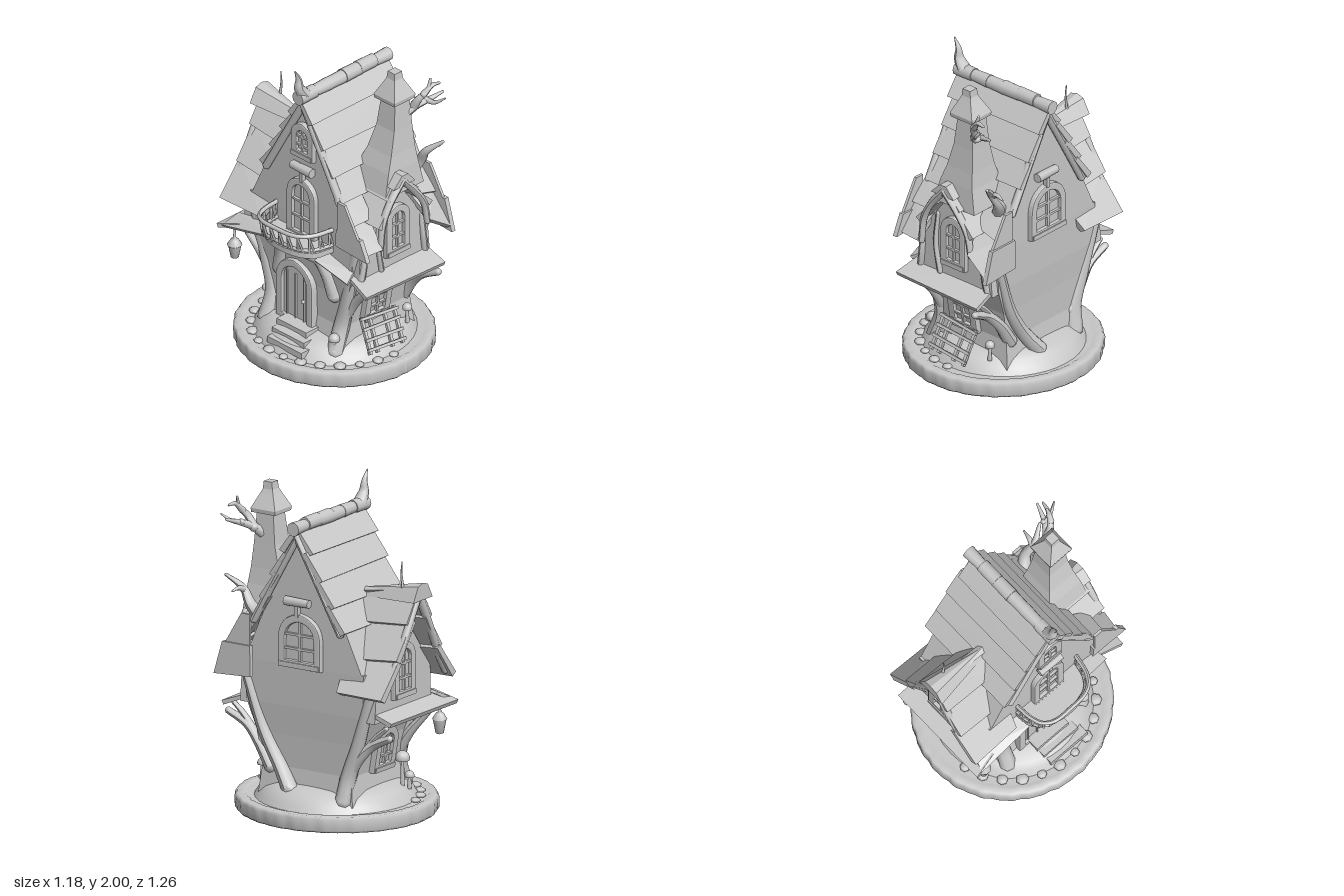
import * as THREE from 'three';
import { ConvexGeometry } from 'three/addons/geometries/ConvexGeometry.js';

const V = (x, y, z) => new THREE.Vector3(x, y, z);

export function createModel() {
  const root = new THREE.Group();
  const clay = new THREE.MeshStandardMaterial({ color: 0xc8c8c8 });
  clay.name = 'pale grey';
  let seed = 7;
  const rnd = () => (seed = (seed * 16807) % 2147483647) / 2147483647 - 0.5;

  function add(name, geo, parent = root, p = [0, 0, 0], r = [0, 0, 0]) {
    const m = new THREE.Mesh(geo, clay);
    m.name = name;
    m.position.set(...p);
    m.rotation.set(...r);
    parent.add(m);
    return m;
  }
  const hull = (name, pts, parent) => add(name, new ConvexGeometry(pts), parent);
  const box = (name, s, p, parent, r) => add(name, new THREE.BoxGeometry(...s), parent, p, r);

  // Tapering bent limb through a few points
  function limb(name, pts, r0, r1, parent = root) {
    const curve = new THREE.CatmullRomCurve3(pts.map(p => V(...p)));
    const n = pts.length * 5, sides = 8;
    const geo = new THREE.TubeGeometry(curve, n, 1, sides);
    const pos = geo.attributes.position, v = V(0, 0, 0);
    for (let i = 0; i < pos.count; i++) {
      const t = Math.floor(i / (sides + 1)) / n, c = curve.getPointAt(t);
      v.fromBufferAttribute(pos, i).sub(c).multiplyScalar(r0 + (r1 - r0) * t).add(c);
      pos.setXYZ(i, v.x, v.y, v.z);
    }
    geo.computeVertexNormals();
    add(name, geo, parent);
    for (const [p, r] of [[pts[0], r0], [pts[pts.length - 1], r1]])
      add(name + 'End', new THREE.SphereGeometry(r, 8, 6), parent, p);
  }

  // Overlapping board rows between a ridge line a-b and an eave line c-d
  function boards(name, a, b, c, d, rows, t = 0.03, sag = 0) {
    const g = new THREE.Group();
    g.name = name;
    root.add(g);
    const [A, B, C, D] = [a, b, c, d].map(p => V(...p));
    const n = B.clone().sub(A).cross(C.clone().sub(A)).normalize();
    if (n.y < 0) n.negate();
    const at = (u, v, o) => A.clone().lerp(B, u).lerp(C.clone().lerp(D, u), v).addScaledVector(n, o - sag * Math.sin(Math.PI * Math.min(v, 1)));
    for (let i = 0; i < rows; i++) {
      const v0 = Math.max(0, (i - 0.15) / rows), v1 = (i + 1) / rows;
      const e0 = rnd() * 0.04, e1 = 1 + rnd() * 0.04, w0 = rnd() * 0.03, w1 = rnd() * 0.03;
      hull('board', [at(e0, v0, -t), at(e1, v0, -t), at(e0, v0, 0), at(e1, v0, 0),
        at(e0, v1 + w0, -t * 0.3), at(e1, v1 + w1, -t * 0.3), at(e0, v1 + w0, t), at(e1, v1 + w1, t)], g);
    }
  }

  // Arched outline used for windows and doors
  function arch(w, h, Type = THREE.Shape) {
    const s = new Type(), y = h - w * 0.55;
    s.moveTo(-w / 2, 0);
    s.lineTo(w / 2, 0);
    s.lineTo(w / 2, y);
    s.quadraticCurveTo(w / 2, h - w * 0.08, 0, h);
    s.quadraticCurveTo(-w / 2, h - w * 0.08, -w / 2, y);
    s.closePath();
    return s;
  }
  function opening(name, w, h, p, ry, tilt = 0, door = false) {
    const g = new THREE.Group();
    g.name = name;
    g.position.set(...p);
    g.rotation.set(tilt, ry, 0, 'YXZ');
    root.add(g);
    const f = 0.032, frame = arch(w, h), hole = arch(w - 2 * f, h - 2 * f, THREE.Path);
    frame.holes.push(new THREE.Path(hole.getPoints(8).map(q => q.add(new THREE.Vector2(0, f)))));
    add('frame', new THREE.ExtrudeGeometry(frame, { depth: 0.04, bevelSize: 0.008, bevelThickness: 0.008, bevelSegments: 2, curveSegments: 8 }), g, [0, 0, -0.02]);
    add('pane', new THREE.ShapeGeometry(arch(w - f, h - f)), g, [0, f / 2, 0.005]);
    if (door) {
      for (const x of [-0.25, 0, 0.25]) box('plankSeam', [0.008, h * 0.75, 0.012], [x * w, h * 0.42, 0.01], g);
      add('knob', new THREE.SphereGeometry(0.012, 8, 6), g, [w * 0.25, h * 0.42, 0.02]);
    } else {
      box('mullion', [0.016, h - f, 0.02], [0, h / 2, 0.012], g);
      for (const k of [0.35, 0.62]) box('crossbar', [w - f, 0.014, 0.02], [0, h * k, 0.012], g);
      box('sill', [w, 0.03, 0.05], [0, 0.012, 0.01], g);
    }
  }

  // Log slice base with a rippled bark edge
  const base = new THREE.LatheGeometry([[0, 0], [0.57, 0], [0.585, 0.015], [0.588, 0.08], [0.575, 0.1], [0.53, 0.1], [0.51, 0.088], [0, 0.088]].map(p => new THREE.Vector2(...p)), 160);
  const bp = base.attributes.position;
  for (let i = 0; i < bp.count; i++) {
    const x = bp.getX(i), z = bp.getZ(i), a = Math.atan2(z, x);
    const k = 1 + 0.004 * Math.sin(a * 23) + 0.004 * Math.sin(a * 41 + 1);
    bp.setXYZ(i, x * k, bp.getY(i), z * k * 1.045);
  }
  base.computeVertexNormals();
  add('logBase', base);
  const mound = add('mound', new THREE.LatheGeometry([[0.49, 0.085], [0.465, 0.125], [0.43, 0.165], [0.37, 0.2], [0.2, 0.225], [0, 0.23]].map(p => new THREE.Vector2(...p)), 40));
  mound.position.x = 0.005;

  // Lower storey flaring upward: y, x min, x max, half depth
  const levels = [[0.12, -0.28, 0.33, 0.34], [0.3, -0.245, 0.31, 0.32], [0.5, -0.25, 0.32, 0.355], [0.68, -0.27, 0.335, 0.42], [0.95, -0.275, 0.345, 0.43]];
  const ring = ([y, x0, x1, z]) => [V(x0, y, -z), V(x1, y, -z), V(x0, y, z), V(x1, y, z)];
  for (let i = 0; i < 4; i++) hull('lowerWall', [...ring(levels[i]), ...ring(levels[i + 1])]);

  // Gabled upper storeys
  hull('mainGable', [-0.275, 0.345].flatMap(x => [V(x, 0.94, -0.42), V(x, 0.94, 0.42), V(x, 1.2, -0.3), V(x, 1.2, 0.31), V(x, 1.75, 0.03)]));
  for (const z of [0.47, -0.5])
    hull('crossGable', [z, 0].flatMap(k => [V(-0.26, 0.66, k), V(0.33, 0.66, k), V(-0.25, 0.9, k), V(0.31, 0.88, k), V(-0.13, 1.07, k), V(0.18, 1.07, k), V(0.03, 1.28, k)]));

  // Main roof
  boards('mainRoofFront', [-0.31, 1.79, 0.04], [0.39, 1.79, 0.04], [-0.31, 1.18, 0.34], [0.39, 1.18, 0.34], 4);
  boards('mainRoofBack', [-0.31, 1.79, 0.02], [0.39, 1.79, 0.02], [-0.31, 1.19, -0.31], [0.39, 1.19, -0.31], 4);
  for (const x of [-0.29, 0.37])
    for (const s of [1, -1])
      limb('rakeBoard', [[x, 1.74, 0.03], [x, 1.45, 0.03 + s * 0.165], [x, 1.19, 0.03 + s * 0.31]], 0.025, 0.025);
  for (let i = 0; i < 6; i++)
    add('ridgeLog', new THREE.CylinderGeometry(0.041 + rnd() * 0.012, 0.043, 0.135, 10), root, [-0.27 + i * 0.124, 1.8 + rnd() * 0.01, 0.03], [0, 0, Math.PI / 2]);
  limb('ridgeHorn', [[-0.29, 1.81, 0.03], [-0.325, 1.87, 0.03], [-0.33, 1.93, 0.03], [-0.36, 1.995, 0.03]], 0.045, 0.004);

  // Low front roof on both sides of the front gable, with boarded ends
  boards('lowRoofLeft', [-0.31, 1.22, 0.33], [-0.12, 1.22, 0.33], [-0.33, 0.9, 0.54], [-0.17, 0.9, 0.56], 2, 0.03);
  boards('lowRoofRight', [0.17, 1.22, 0.33], [0.365, 1.22, 0.33], [0.23, 0.94, 0.56], [0.385, 0.84, 0.58], 2, 0.03);
  for (const [x, y] of [[-0.335, 0.9], [0.375, 0.825]]) {
    hull('roofEndBoard', [x, x + 0.03].flatMap(k => [V(k, y + 0.015, 0.345), V(k, y, 0.61), V(k, 1.03, 0.55), V(k, 1.03, 0.35)]));
    hull('roofEndBoard', [x, x + 0.018].flatMap(k => [V(k, 1.0, 0.36), V(k, 1.0, 0.55), V(k, 1.22, 0.42), V(k, 1.22, 0.36)]));
  }

  // Front gable roof and bell-shaped back gable roof
  boards('frontRoofLeft', [0.02, 1.33, 0.55], [0.02, 1.33, 0.2], [-0.17, 1.05, 0.57], [-0.17, 1.05, 0.3], 2, 0.025);
  boards('frontRoofRight', [0.02, 1.33, 0.55], [0.02, 1.33, 0.2], [0.24, 1.06, 0.57], [0.24, 1.06, 0.3], 2, 0.025);
  boards('backRoofLeft', [0.02, 1.46, -0.62], [0.02, 1.39, -0.15], [-0.33, 0.83, -0.61], [-0.32, 0.83, -0.28], 3, 0.035, 0.025);
  boards('backRoofRight', [0.02, 1.46, -0.62], [0.02, 1.39, -0.15], [0.38, 0.83, -0.61], [0.37, 0.83, -0.28], 3, 0.035, 0.025);
  hull('backRidgeCap', [V(-0.08, 1.38, -0.635), V(0.12, 1.38, -0.635), V(-0.03, 1.47, -0.635), V(0.07, 1.47, -0.635), V(0.02, 1.485, -0.635), V(-0.01, 1.35, -0.22), V(0.05, 1.35, -0.22), V(0.02, 1.4, -0.22)]);
  hull('frontRidgeCap', [V(-0.07, 1.28, 0.57), V(0.11, 1.28, 0.57), V(0.0, 1.35, 0.57), V(0.05, 1.35, 0.57), V(-0.05, 1.28, 0.3), V(0.09, 1.28, 0.3), V(0.02, 1.35, 0.3)]);
  limb('backSpike', [[0.05, 1.44, -0.51], [0.05, 1.53, -0.5], [0.05, 1.6, -0.505]], 0.01, 0.003);
  const trims = [[[0.02, 1.31, 0.55], [-0.08, 1.19, 0.55], [-0.14, 1.07, 0.55], [-0.16, 0.91, 0.55]], [[0.02, 1.31, 0.55], [0.12, 1.2, 0.55], [0.2, 1.08, 0.55], [0.23, 0.94, 0.55]],
    [[0.02, 1.41, -0.6], [-0.12, 1.15, -0.6], [-0.2, 1.0, -0.59], [-0.29, 0.87, -0.58]], [[0.02, 1.41, -0.6], [0.17, 1.15, -0.6], [0.25, 1.0, -0.59], [0.35, 0.87, -0.58]]];
  for (const t of trims) limb('gableTrim', t, 0.026, 0.02);

  // Sloping ledges between the storeys, turning the corners on the balcony side
  boards('frontLedge', [-0.3, 0.71, 0.42], [0.32, 0.71, 0.42], [-0.33, 0.635, 0.59], [0.33, 0.62, 0.6], 1, 0.022);
  boards('backLedge', [-0.33, 0.73, -0.46], [0.33, 0.73, -0.46], [-0.36, 0.66, -0.61], [0.34, 0.66, -0.61], 1, 0.022);
  boards('sideLedge', [-0.26, 0.74, -0.55], [-0.26, 0.8, -0.18], [-0.36, 0.67, -0.58], [-0.36, 0.76, -0.18], 1, 0.018);
  boards('sideLedge', [-0.26, 0.74, 0.43], [-0.26, 0.8, 0.2], [-0.33, 0.68, 0.45], [-0.36, 0.76, 0.2], 1, 0.018);

  // Corner trunks, ledge branches and wall timbers
  limb('frontRightRoot', [[0.36, 0.18, 0.09], [0.325, 0.3, 0.18], [0.32, 0.5, 0.3], [0.335, 0.84, 0.42]], 0.05, 0.03);
  limb('backRightTrunk', [[0.32, 0.15, -0.27], [0.295, 0.3, -0.29], [0.3, 0.5, -0.36], [0.32, 0.85, -0.47]], 0.055, 0.03);
  for (const s of [1, -1]) {
    limb('leftTrunk', [[-0.28, 0.14, s * 0.29], [-0.225, 0.3, s * 0.29], [-0.225, 0.5, s * 0.34], [-0.25, 0.86, s * 0.43]], 0.055, 0.03);
    limb('ledgeBranch', [[0.29, 0.28, s * 0.27], [0.29, 0.42, s * 0.36], [0.28, 0.51, s * 0.45], [0.29, 0.575, s * 0.58]], 0.045, 0.022);
    limb('ledgeBranch', [[-0.21, 0.34, s * 0.29], [-0.21, 0.48, s * 0.38], [-0.23, 0.62, s * 0.5]], 0.04, 0.022);
    limb('ledgeTwig', [[0.28, 0.5, s * 0.42], [0.28, 0.57, s * 0.48], [0.28, 0.63, s * 0.55]], 0.022, 0.015);
    for (const x of [-0.24, 0.29])
      limb('upperTimber', [[x, 0.68, s * 0.465], [x * 0.93, 0.8, s * 0.475], [x * 0.9, 0.94, s * 0.465]], 0.024, 0.018);
    limb('wallTimber', [[-0.08, 0.7, s * 0.475], [-0.11, 0.88, s * 0.48], [-0.1, 1.08, s * 0.47]], 0.018, 0.014);
  }

  // Windows and doors
  opening('frontUpperWindow', 0.18, 0.32, [0.04, 0.78, 0.475], 0);
  opening('frontLowerWindow', 0.2, 0.26, [0, 0.3, 0.33], 0, 0.17);
  opening('backUpperWindow', 0.2, 0.33, [0.05, 0.78, -0.505], Math.PI);
  opening('backLowerWindow', 0.2, 0.27, [0.02, 0.3, -0.33], Math.PI, 0.17);
  opening('sideWindow', 0.29, 0.32, [0.35, 0.94, 0.015], Math.PI / 2);
  opening('atticWindow', 0.17, 0.22, [-0.28, 1.38, 0.03], -Math.PI / 2);
  opening('balconyDoor', 0.22, 0.4, [-0.28, 0.82, 0.02], -Math.PI / 2);
  opening('groundDoor', 0.29, 0.43, [-0.265, 0.19, -0.05], -Math.PI / 2, 0, true);
  for (const [x, y] of [[0.37, 1.34], [-0.3, 1.3]]) {
    add('wallLog', new THREE.CylinderGeometry(0.03, 0.026, 0.17, 8), root, [x, y, 0.03], [Math.PI / 2, 0, 0]);
    box('wallLogPeg', [0.03, 0.08, 0.025], [x, y - 0.05, 0.03]);
  }

  // Chimney with a pointed cap
  const square = (y, x, z, w) => [[-1, -1], [1, -1], [1, 1], [-1, 1]].map(([i, j]) => V(x + i * w, y, z + j * w));
  const stack = [[1.2, 0.07, 0.36, 0.16], [1.35, 0.075, 0.38, 0.125], [1.45, 0.088, 0.39, 0.1], [1.6, 0.103, 0.4, 0.075], [1.8, 0.108, 0.403, 0.058]];
  for (let i = 0; i < 4; i++) hull('chimney', [...square(...stack[i]), ...square(...stack[i + 1])]);
  const cap = [[1.785, 0.1, 0.405, 0.085], [1.81, 0.1, 0.405, 0.088], [1.9, 0.097, 0.408, 0.045], [1.925, 0.097, 0.409, 0.034], [1.97, 0.097, 0.41, 0.03]];
  for (let i = 0; i < 4; i++) hull('chimneyCap', [...square(...cap[i]), ...square(...cap[i + 1])]);

  // Bare branches by the chimney and the front roof
  limb('chimneyBranch', [[0.15, 1.66, 0.43], [0.21, 1.71, 0.47], [0.28, 1.74, 0.51], [0.37, 1.77, 0.54]], 0.035, 0.008);
  limb('chimneyTwig', [[0.2, 1.7, 0.46], [0.21, 1.77, 0.5], [0.25, 1.82, 0.53], [0.275, 1.89, 0.53]], 0.03, 0.008);
  limb('chimneyTwig', [[0.23, 1.8, 0.52], [0.28, 1.85, 0.54], [0.33, 1.85, 0.55]], 0.022, 0.008);
  limb('chimneyTwig', [[0.27, 1.74, 0.5], [0.28, 1.74, 0.56], [0.31, 1.78, 0.62]], 0.02, 0.005);
  limb('roofBranch', [[0.28, 1.18, 0.35], [0.32, 1.26, 0.4], [0.31, 1.35, 0.46], [0.36, 1.43, 0.55]], 0.045, 0.01);
  limb('roofTwig', [[0.31, 1.34, 0.45], [0.36, 1.36, 0.46], [0.41, 1.35, 0.47]], 0.022, 0.006);

  // Balcony: curved deck, brackets and slatted rail
  const deck = new THREE.Shape();
  deck.moveTo(-0.25, -0.22);
  deck.lineTo(-0.36, -0.21);
  deck.bezierCurveTo(-0.52, -0.16, -0.52, 0.2, -0.38, 0.25);
  deck.lineTo(-0.25, 0.27);
  add('balconyDeck', new THREE.ExtrudeGeometry(deck, { depth: 0.035, bevelEnabled: false }), root, [0, 0.845, 0], [Math.PI / 2, 0, 0]);
  const rim = new THREE.CatmullRomCurve3([[-0.28, -0.21], [-0.42, -0.19], [-0.485, -0.14], [-0.5, 0.02], [-0.485, 0.15], [-0.43, 0.22], [-0.28, 0.26]].map(([x, z]) => V(x, 0, z)));
  const rail = (y, k) => rim.getPoints(8).map(p => [p.x * k, y, p.z]);
  limb('balconyRail', rail(0.965, 1), 0.014, 0.014);
  limb('balconyRailFoot', rail(0.86, 0.94), 0.011, 0.011);
  for (let i = 0; i <= 22; i++) {
    const p = rim.getPointAt(i / 22), q = rim.getPointAt(Math.min(1, Math.max(0, (i + (i % 2 ? 0.6 : -0.6)) / 22)));
    limb('baluster', [[p.x * 0.94, 0.84, p.z], [q.x, 0.965, q.z]], 0.008, 0.008);
  }
  for (const z of [-0.15, 0.18])
    limb('balconyBracket', [[-0.25, 0.5, z * 1.4], [-0.275, 0.63, z * 1.2], [-0.32, 0.74, z], [-0.41, 0.81, z]], 0.045, 0.022);

  // Doorstep, stones and leaning fence
  for (let i = 0; i < 3; i++) box('doorStep', [0.12, 0.04, 0.25 + i * 0.02], [-0.3 - i * 0.05, 0.21 - i * 0.037, i * 0.02]);
  for (let i = 0; i < 13; i++) {
    const a = Math.PI * (0.5 + i / 13);
    add('stone', new THREE.SphereGeometry(0.035 + rnd() * 0.012, 7, 5), root, [Math.cos(a) * 0.49, 0.095, Math.sin(a) * 0.5]).scale.y = 0.5;
  }
  const fence = new THREE.Group();
  fence.name = 'leaningFence';
  fence.position.set(-0.02, 0.235, 0.42);
  fence.rotation.set(-0.45, 0, -0.08);
  root.add(fence);
  for (const x of [-0.13, -0.07, 0.05, 0.13]) box('fencePost', [0.02, 0.23, 0.02], [x, 0, 0], fence);
  for (const y of [-0.09, -0.03, 0.04, 0.1]) box('fenceRail', [0.3, 0.018, 0.016], [0, y, 0.012], fence, [0, 0, rnd() * 0.06]);

  // Mushrooms and hanging lantern
  for (const [x, y, z, h, r] of [[-0.3, 0.15, 0.3, 0.09, 0.035], [0.23, 0.17, 0.38, 0.1, 0.03], [-0.12, 0.16, -0.39, 0.18, 0.045], [-0.15, 0.15, -0.42, 0.08, 0.03]]) {
    add('mushroomStem', new THREE.CylinderGeometry(0.009, 0.014, h, 8), root, [x, y + h / 2, z]);
    add('mushroomCap', new THREE.SphereGeometry(r, 12, 6, 0, Math.PI * 2, 0, Math.PI * 0.6), root, [x, y + h, z]);
  }
  const lamp = [[0, 0.46], [0.025, 0.47], [0.04, 0.55], [0.046, 0.555], [0.025, 0.59], [0.01, 0.6], [0.006, 0.66], [0, 0.66]];
  add('lantern', new THREE.LatheGeometry(lamp.map(p => new THREE.Vector2(...p)), 10), root, [-0.32, 0, -0.52]);
  return root;
}
